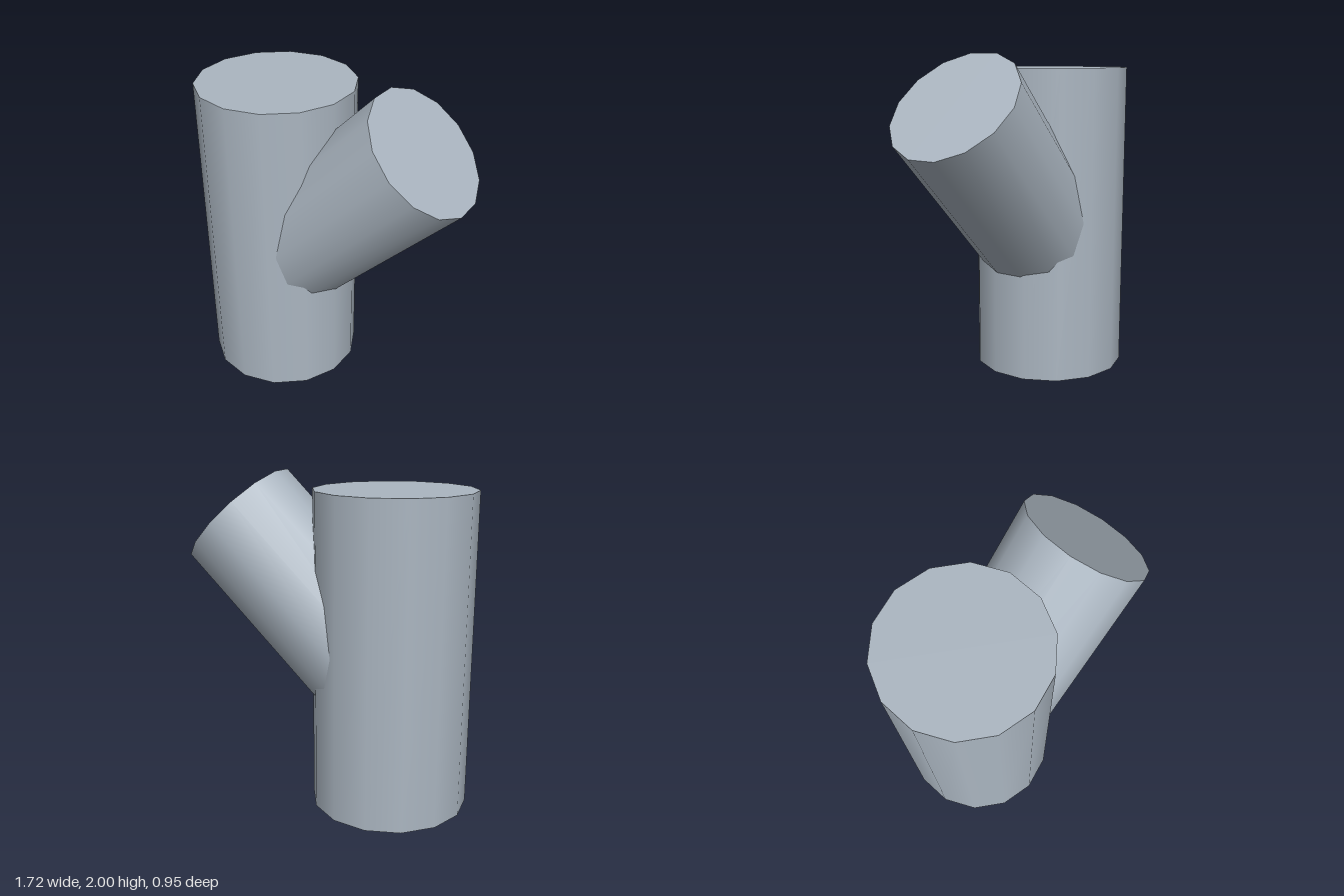
import * as THREE from 'three';

const SIDES = 14;
const mainX = -0.395;

export function createModel() {
  const group = new THREE.Group();
  group.name = 'pipeBranch';

  const steel = new THREE.MeshStandardMaterial({ color: 0xabb6c1 });
  steel.name = 'blue grey steel';

  // Capped pipe with its base centre at the mesh origin
  const pipe = (name, radius, length) => {
    const geometry = new THREE.CylinderGeometry(radius, radius, length, SIDES);
    geometry.translate(0, length / 2, 0);
    const mesh = new THREE.Mesh(geometry, steel);
    mesh.name = name;
    group.add(mesh);
    return mesh;
  };

  // Upright main pipe
  pipe('mainPipe', 0.477, 1.915).position.x = mainX;

  // Side pipe rising at 45 degrees from the main axis
  const branch = pipe('branchPipe', 0.399, 0.98 * Math.SQRT2);
  branch.position.set(mainX, 0.745, 0);
  branch.rotation.z = -Math.PI / 4;

  return group;
}
